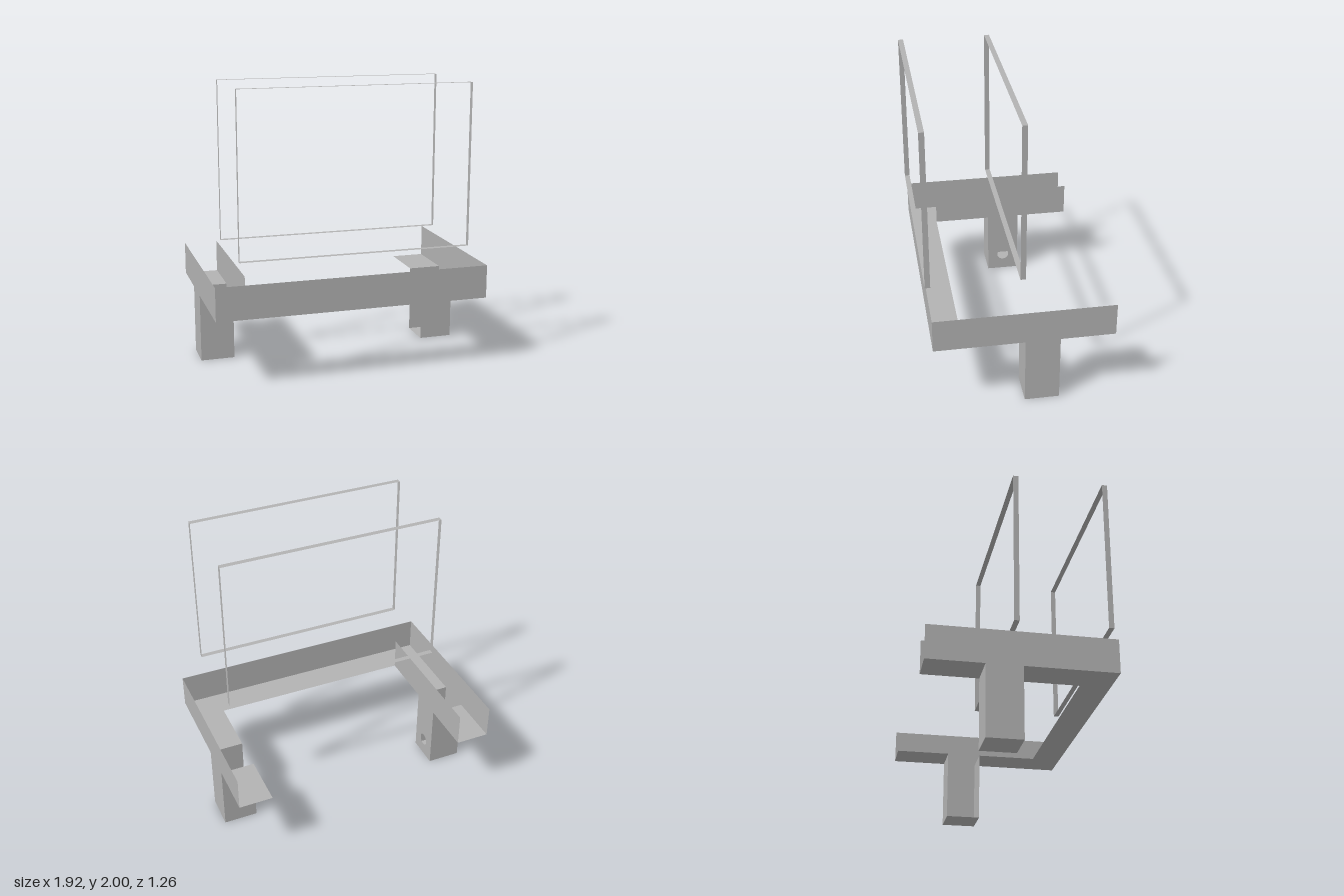
import * as THREE from 'three';

// Main dimensions of the folded sheet base
const OUT = 0.96, INN = 0.72, MID = (OUT + INN) / 2, W = OUT - INN;
const FLOOR = 0.485, TOP = 0.72;
const BACK = -0.63, FRONT = 0.61, INNER_FRONT = 0.405;
const LEG_BACK = -0.25, LEG_FRONT = -0.01;

export function createModel() {
  const model = new THREE.Group();
  model.name = 'sheetStandWithFrames';
  const grey = new THREE.MeshStandardMaterial({ color: 0xb2b2b2, side: THREE.DoubleSide });
  grey.name = 'plain grey';

  const add = (parent, name, geometry, x = 0, y = 0, z = 0) => {
    const mesh = new THREE.Mesh(geometry, grey);
    mesh.name = name;
    mesh.position.set(x, y, z);
    parent.add(mesh);
    return mesh;
  };

  // Horizontal sheet between two z values, facing up
  const floor = (parent, name, x, width, y, z0, z1) =>
    add(parent, name, new THREE.PlaneGeometry(width, z1 - z0).rotateX(-Math.PI / 2), x, y, (z0 + z1) / 2);

  // Upright sheet across x
  const crossWall = (parent, name, x, width, y0, y1, z) =>
    add(parent, name, new THREE.PlaneGeometry(width, y1 - y0), x, (y0 + y1) / 2, z);

  // T-shaped side sheet: arm wall and leg wall in one, drawn in z and y
  const sideWall = (parent, name, x, zFront, withHole) => {
    const shape = new THREE.Shape([
      [BACK, TOP], [BACK, FLOOR], [LEG_BACK, FLOOR], [LEG_BACK, 0],
      [LEG_FRONT, 0], [LEG_FRONT, FLOOR], [zFront, FLOOR], [zFront, TOP],
    ].map(([z, y]) => new THREE.Vector2(z, y)));
    if (withHole) {
      const hole = new THREE.Path();
      hole.absarc((LEG_BACK + LEG_FRONT) / 2, 0.13, 0.045, 0, Math.PI * 2, true);
      shape.holes.push(hole);
    }
    add(parent, name, new THREE.ShapeGeometry(shape, 16).rotateY(-Math.PI / 2), x);
  };

  // Arms with hollow legs, open at the top and the back end
  for (const [side, s] of [['left', 1], ['right', -1]]) {
    const arm = new THREE.Group();
    arm.name = side + 'Arm';
    model.add(arm);
    sideWall(arm, 'outerWall', s * OUT, FRONT, false);
    floor(arm, 'backFloor', s * MID, W, FLOOR, BACK, LEG_BACK);
    floor(arm, 'frontFloor', s * MID, W, FLOOR, LEG_FRONT, FRONT);
    floor(arm, 'legBottom', s * MID, W, 0, LEG_BACK, LEG_FRONT);
    crossWall(arm, 'legFrontWall', s * MID, W, 0, FLOOR, LEG_FRONT);
    crossWall(arm, 'legBackWall', s * MID, W, 0, FLOOR, LEG_BACK);
    // Only the right arm is closed on its inner side
    if (s < 0) sideWall(arm, 'innerWall', s * INN, INNER_FRONT, true);
  }

  // Front beam
  crossWall(model, 'frontWall', 0, OUT * 2, FLOOR, TOP, FRONT);
  floor(model, 'frontBeamFloor', 0, INN * 2, FLOOR, INNER_FRONT, FRONT);

  // Two floating rectangular bands
  const HALF = 0.8, LOW = 0.88, HIGH = 2, DEPTH = 0.037;
  for (const [name, z] of [['frontFrame', 0.616], ['backFrame', -0.019]]) {
    const frame = new THREE.Group();
    frame.name = name;
    frame.position.z = z;
    model.add(frame);
    floor(frame, 'topStrip', 0, HALF * 2, HIGH, -DEPTH / 2, DEPTH / 2);
    floor(frame, 'bottomStrip', 0, HALF * 2, LOW, -DEPTH / 2, DEPTH / 2);
    for (const s of [1, -1]) {
      const strip = new THREE.PlaneGeometry(DEPTH, HIGH - LOW).rotateY(s * Math.PI / 2);
      add(frame, s > 0 ? 'leftStrip' : 'rightStrip', strip, s * HALF, (LOW + HIGH) / 2, 0);
    }
  }
  return model;
}
